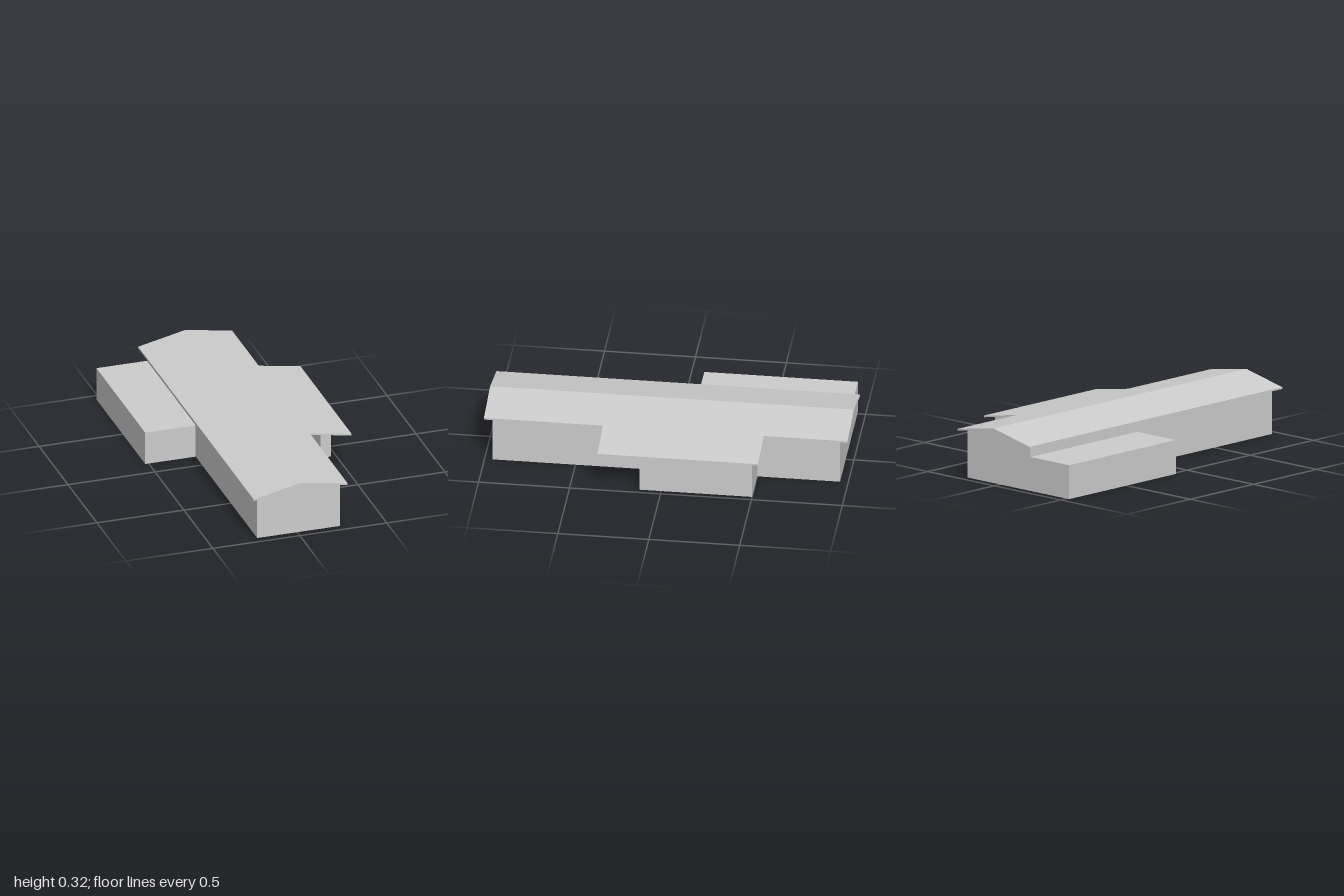
import * as THREE from 'three';

export function createModel() {
  const model = new THREE.Group();
  const grey = new THREE.MeshStandardMaterial({ color: 0xcccccc, side: THREE.DoubleSide });
  grey.name = 'plain grey';

  const ridgeX = 0.005, thick = 0.01;
  const west = -0.23, east = 0.245, wingX = 0.47, annexX = -0.52;
  const end = 0.955, wingFront = 0.12, wingBack = -0.5, annexFront = -0.11, annexTop = 0.19;

  // Height of the roof underside at a given x
  const under = x => 0.31 - (x < ridgeX ? 0.222 * (ridgeX - x) : 0.167 * (x - ridgeX));

  function add(name, geometry) {
    const mesh = new THREE.Mesh(geometry, grey);
    mesh.name = name;
    model.add(mesh);
    return mesh;
  }
  const outline = pts => new THREE.Shape(pts.map(([x, y]) => new THREE.Vector2(x, y)));

  // Wall facing along z, with any outline
  function crossWall(name, z, pts) {
    add(name, new THREE.ShapeGeometry(outline(pts))).position.z = z;
  }
  // Rectangular wall facing along x
  function sideWall(name, x, z0, z1, y0, y1) {
    const g = new THREE.PlaneGeometry(Math.abs(z1 - z0), y1 - y0).rotateY(x < 0 ? -Math.PI / 2 : Math.PI / 2);
    add(name, g).position.set(x, (y0 + y1) / 2, (z0 + z1) / 2);
  }
  // Horizontal sheet
  function deck(name, x0, x1, y, z0, z1, up = true) {
    const g = new THREE.PlaneGeometry(x1 - x0, z1 - z0).rotateX(up ? -Math.PI / 2 : Math.PI / 2);
    add(name, g).position.set((x0 + x1) / 2, y, (z0 + z1) / 2);
  }
  // Roof slab following the given x stations
  function roof(name, xs, z0, z1) {
    const low = xs.map(x => [x, under(x)]);
    const high = xs.map(x => [x, under(x) + thick]).reverse();
    const g = new THREE.ExtrudeGeometry(outline([...low, ...high]), { depth: z1 - z0, bevelEnabled: false });
    add(name, g).position.z = z0;
  }

  // Gable ends; the back one runs on into the flat annex
  const gableTop = [[east, under(east)], [ridgeX, under(ridgeX)], [west, under(west)]];
  crossWall('frontGableWall', end, [[west, 0], [east, 0], ...gableTop]);
  crossWall('backGableWall', -end,
    [[annexX, 0], [east, 0], ...gableTop, [west, annexTop], [annexX, annexTop]]);

  // Long walls of the main block
  sideWall('rightFrontWall', east, wingFront, end, 0, under(east));
  sideWall('rightBackWall', east, -end, wingBack, 0, under(east));
  sideWall('leftFrontWall', west, annexFront, end, 0, under(west));
  sideWall('wallAboveAnnex', west, -end, annexFront, annexTop, under(west));

  // Flat-roofed annex
  sideWall('annexSideWall', annexX, -end, annexFront, 0, annexTop);
  crossWall('annexFrontWall', annexFront,
    [[annexX, 0], [west, 0], [west, annexTop], [annexX, annexTop]]);
  deck('annexRoof', annexX, west, annexTop, -end, annexFront);

  // Side wing, whose front wall is cut around the doorway
  const d0 = 0.3, d1 = 0.41, doorTop = 0.18, recessBack = -0.255;
  sideWall('wingSideWall', wingX, wingBack, wingFront, 0, under(wingX));
  crossWall('wingBackWall', wingBack,
    [[east, 0], [wingX, 0], [wingX, under(wingX)], [east, under(east)]]);
  crossWall('wingFrontWall', wingFront,
    [[east, 0], [d0, 0], [d0, doorTop], [d1, doorTop], [d1, 0],
      [wingX, 0], [wingX, under(wingX)], [east, under(east)]]);

  // Entrance recess behind the doorway
  for (const x of [d0, d1]) sideWall('recessSideWall', x, recessBack, wingFront, 0, doorTop);
  crossWall('recessEndWall', recessBack, [[d0, 0], [d1, 0], [d1, doorTop], [d0, doorTop]]);
  deck('recessCeiling', d0, d1, doorTop, recessBack, wingFront);
  deck('recessFloor', d0, d1, 0, recessBack, wingFront, false);

  // Pitched roof and its extension over the wing
  roof('mainRoof', [-0.265, ridgeX, 0.275], -1, 1);
  roof('wingRoof', [0.275, 0.515], -0.54, 0.345);

  return model;
}
